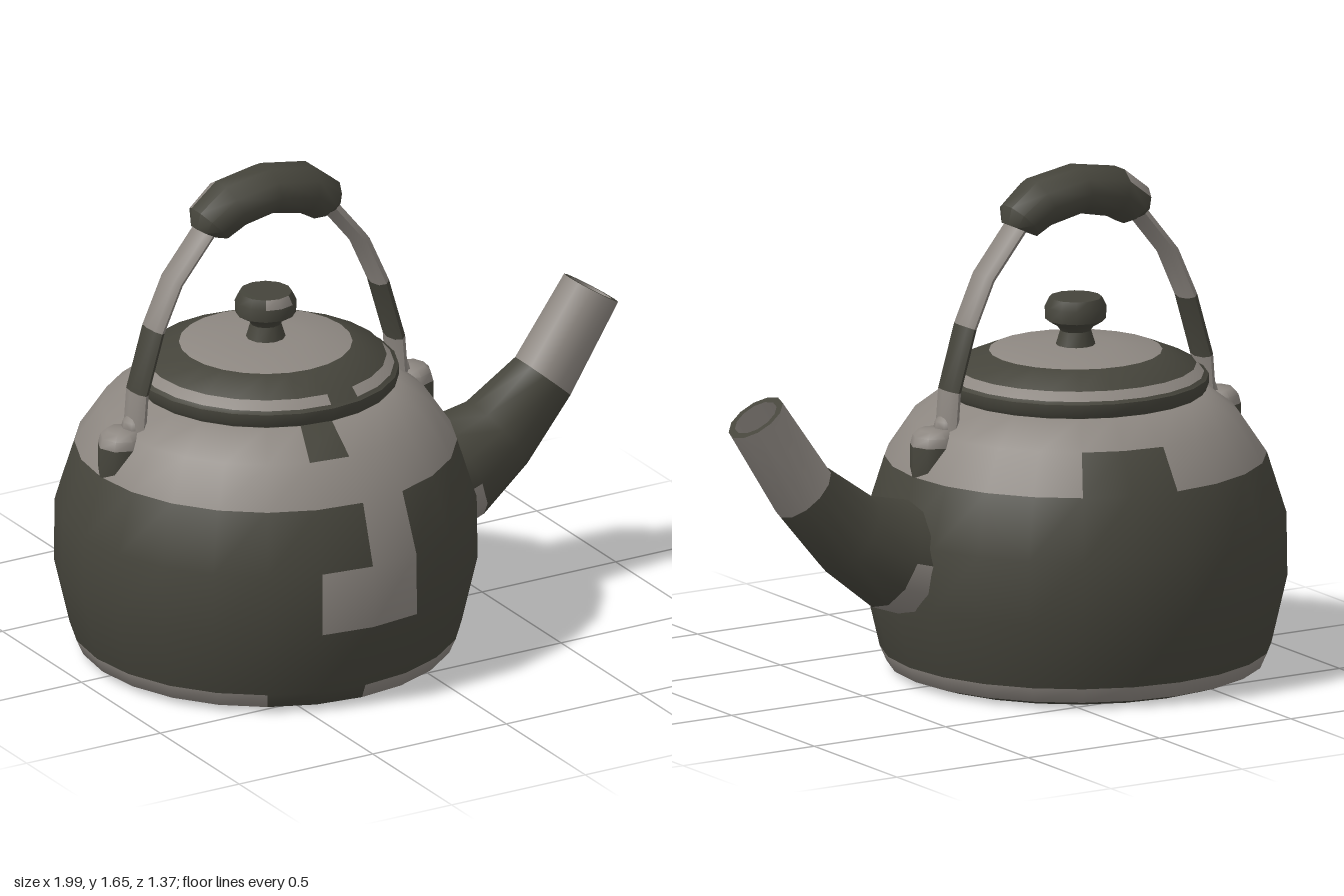
import * as THREE from 'three';
import { toCreasedNormals } from 'three/addons/utils/BufferGeometryUtils.js';

const CX = -0.31; // kettle axis

export function createModel() {
  const darkEnamel = new THREE.MeshStandardMaterial({ color: 0x45443b });
  const wornMetal = new THREE.MeshStandardMaterial({ color: 0x8d8781 });
  const model = new THREE.Group();
  const DARK = 0, LIGHT = 1;

  // Skins a row of rings [x, y, in-plane radius, z radius, tilt in degrees towards +x];
  // paint(row, sector) picks the colour of each cell.
  function sweep(name, rings, n, paint) {
    const pos = [], lists = [[], []];
    rings.forEach(([x, y, ra, rb, tilt = 0]) => {
      const t = THREE.MathUtils.degToRad(tilt);
      for (let j = 0; j < n; j++) {
        const a = (j / n) * Math.PI * 2, s = Math.sin(a) * ra;
        pos.push(x + s * Math.cos(t), y - s * Math.sin(t), rb * Math.cos(a));
      }
    });
    for (let i = 0; i < rings.length - 1; i++) {
      for (let j = 0; j < n; j++) {
        const k = (j + 1) % n;
        const a = i * n + j, b = i * n + k, c = b + n, d = a + n;
        const list = lists[paint(i, j)];
        if (rings[i][2] > 0) list.push(a, b, c === d ? a : (rings[i + 1][2] > 0 ? c : d));
        if (rings[i + 1][2] > 0) list.push(a, c, d);
      }
    }
    let geo = new THREE.BufferGeometry();
    geo.setAttribute('position', new THREE.Float32BufferAttribute(pos, 3));
    geo.setIndex([...lists[0], ...lists[1]]);
    geo.addGroup(0, lists[0].length, 0);
    geo.addGroup(lists[0].length, lists[1].length, 1);
    geo = toCreasedNormals(geo, 0.85);
    const mesh = new THREE.Mesh(geo, [darkEnamel, wornMetal]);
    mesh.name = name;
    model.add(mesh);
    return mesh;
  }
  const turned = (profile) => profile.map(([r, y]) => [CX, y, r, r]);

  // Body, with stepped patches of worn metal
  sweep('body', turned([
    [0, 0], [0.55, 0], [0.61, 0.02], [0.632, 0.07], [0.683, 0.29],
    [0.68, 0.5], [0.617, 0.7], [0.53, 0.83], [0.42, 0.915], [0.38, 0.915],
  ]), 24, (i, j) => {
    if (i === 2) return j >= 22 ? DARK : LIGHT;
    if (i === 4) return j === 23 || j === 0 ? LIGHT : DARK;
    if (i === 5) return j === 0 ? LIGHT : DARK;
    if (i === 6) return j === 10 || j === 11 ? DARK : LIGHT;
    if (i === 7) return j === 23 ? DARK : LIGHT;
    return DARK;
  });

  // Lid
  sweep('lid', turned([
    [0.38, 0.905], [0.41, 0.905], [0.43, 0.93], [0.43, 0.962], [0.415, 0.97],
    [0.39, 0.998], [0.28, 1.045], [0.13, 1.062], [0, 1.065],
  ]), 24, (i, j) => {
    if (i === 4) return j === 0 ? DARK : LIGHT;
    return i >= 6 ? LIGHT : DARK;
  });

  // Lid knob
  sweep('lidKnob', turned([
    [0.068, 1.05], [0.05, 1.11], [0.06, 1.125], [0.098, 1.148],
    [0.1, 1.19], [0.085, 1.22], [0, 1.222],
  ]), 12, (i, j) => (i === 4 && (j === 0 || j === 11) ? LIGHT : DARK));

  // Spout with a hollow tip
  sweep('spout', [
    [0.24, 0.42, 0.2, 0.2, 82], [0.4, 0.46, 0.182, 0.172, 69],
    [0.555, 0.545, 0.143, 0.135, 53], [0.727, 0.705, 0.113, 0.1, 41],
    [0.908, 0.975, 0.102, 0.093, 33], [0.908, 0.975, 0.078, 0.072, 33],
    [0.74, 0.72, 0.075, 0.07, 38], [0.73, 0.71, 0, 0, 38],
  ], 12, (i, j) => {
    if (i === 0) return j < 6 ? LIGHT : DARK;
    return i === 3 || i === 5 ? LIGHT : DARK;
  });

  // Follows a path, tilting each ring along it; points are [offset from axis, y, in-plane radius, z radius]
  function alongPath(pts) {
    return pts.map(([x, y, ra, rb], i) => {
      const p = pts[Math.max(i - 1, 0)], q = pts[Math.min(i + 1, pts.length - 1)];
      const tilt = THREE.MathUtils.radToDeg(Math.atan2(q[0] - p[0], q[1] - p[1]));
      return [CX + x, y, ra, rb, tilt];
    });
  }
  const mirrored = (half) => [...half, ...half.slice(0, -1).reverse().map(([x, ...rest]) => [-x, ...rest])];

  // Bail strap
  const strap = mirrored([
    [-0.49, 0.84], [-0.48, 0.97], [-0.42, 1.175], [-0.35, 1.33],
    [-0.22, 1.49], [-0.13, 1.55], [0, 1.57],
  ]).map(([x, y]) => [x, y, 0.027, 0.056]);
  sweep('handleStrap', alongPath(strap), 8, (i) => (i === 1 || i === 10 ? DARK : LIGHT));

  // Grip with rounded ends
  const grip = alongPath(mirrored([
    [-0.225, 1.475, 0.05, 0.06], [-0.213, 1.5, 0.075, 0.09], [-0.14, 1.552, 0.083, 0.104], [0, 1.578, 0.08, 0.106],
  ]));
  const first = grip[0], last = grip[grip.length - 1];
  grip.unshift([first[0], first[1], 0, 0, first[4]]);
  grip.push([last[0], last[1], 0, 0, last[4]]);
  sweep('handleGrip', grip, 10, (i, j) => (i === 2 && j === 6 ? LIGHT : DARK));

  // Lugs and pivots that hold the strap
  for (const side of [-1, 1]) {
    const x = CX + side * 0.54;
    sweep('lug', [
      [x, 0.7, 0.08, 0.075], [x, 0.8, 0.08, 0.075], [x, 0.83, 0.07, 0.07],
      [x, 0.85, 0.05, 0.05], [x, 0.852, 0, 0],
    ], 8, (i) => (i === 0 ? DARK : LIGHT));
    const pivot = new THREE.Mesh(new THREE.SphereGeometry(0.045, 8, 6), wornMetal);
    pivot.name = 'strapPivot';
    pivot.position.set(CX + side * 0.49, 0.85, 0);
    model.add(pivot);
  }
  return model;
}
